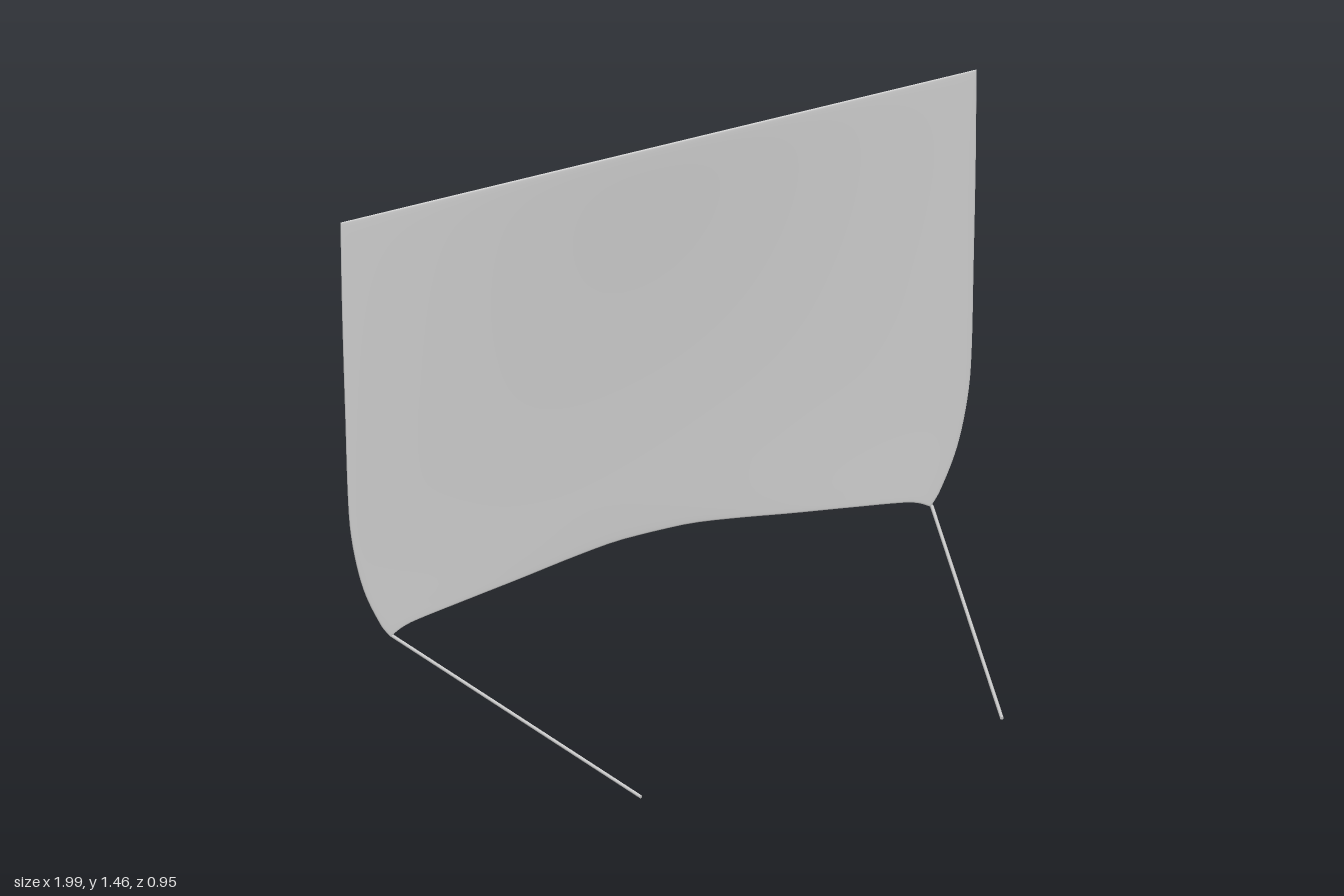
import * as THREE from 'three';

const material = new THREE.MeshStandardMaterial({ color: 0xcccccc, side: THREE.DoubleSide });

// Smooth interpolation through [t, value] pairs (cubic Hermite)
function smooth(points, t) {
  let i = 0;
  while (i < points.length - 2 && t > points[i + 1][0]) i++;
  const slope = (j) => {
    const a = points[Math.max(j - 1, 0)], b = points[Math.min(j + 1, points.length - 1)];
    return (b[1] - a[1]) / (b[0] - a[0]);
  };
  const [t0, p0] = points[i], [t1, p1] = points[i + 1];
  const d = t1 - t0, s = (t - t0) / d, s2 = s * s, s3 = s2 * s;
  return p0 * (2 * s3 - 3 * s2 + 1) + slope(i) * d * (s3 - 2 * s2 + s)
    + p1 * (3 * s2 - 2 * s3) + slope(i + 1) * d * (s3 - s2);
}

const TOP = 1.464, CORNER = 0.212;
// Half width by height along the side edge
const sideEdge = [[0.212, 0.845], [0.25, 0.873], [0.36, 0.925], [0.48, 0.957],
  [0.6, 0.973], [0.9, 0.983], [1.2, 0.991], [1.464, 0.995]];
// Height of the arched lower edge by fraction of the half width
const footEdge = [[0, 0.315], [0.14, 0.313], [0.3, 0.299], [0.5, 0.278],
  [0.7, 0.26], [0.91, 0.24], [0.96, 0.229], [1, 0.212]];

// Thin cloth panel: closed flat rings stacked from the foot to the head
function createSail() {
  const around = 112, rows = 56, positions = [], index = [];
  for (let r = 0; r <= rows; r++) {
    const b = (r / rows) * Math.PI;
    const v = (1 - Math.cos(b)) / 2;
    const halfWidth = smooth(sideEdge, CORNER + (TOP - CORNER) * v);
    const rowThickness = 0.006 * Math.pow(Math.max(Math.sin(b), 0), 0.3);
    const belly = 0.03 * Math.sin(Math.min(1, (1 - v) / 0.85) * Math.PI / 2);
    for (let k = 0; k < around; k++) {
      const a = (k / around) * Math.PI * 2;
      const u = -Math.cos(a), side = Math.sin(a);
      const thickness = Math.sign(side) * Math.pow(Math.abs(side), 0.3) * rowThickness;
      const foot = smooth(footEdge, Math.abs(u));
      positions.push(
        u * halfWidth,
        foot + (TOP - foot) * v,
        -0.44 - belly * (1 - u * u) ** 2 + 0.011 * u ** 4 * (1 - v) + thickness
      );
      if (r < rows) {
        const p = r * around + k, q = r * around + (k + 1) % around;
        index.push(p, q, q + around, p, q + around, p + around);
      }
    }
  }
  const geometry = new THREE.BufferGeometry();
  geometry.setAttribute('position', new THREE.Float32BufferAttribute(positions, 3));
  geometry.setIndex(index);
  geometry.computeVertexNormals();
  const mesh = new THREE.Mesh(geometry, material);
  mesh.name = 'sail';
  return mesh;
}

// Taut rope between two points
function createRope(name, from, to) {
  const a = new THREE.Vector3(...from), b = new THREE.Vector3(...to);
  const rope = new THREE.Mesh(new THREE.CylinderGeometry(0.005, 0.005, a.distanceTo(b), 8), material);
  rope.name = name;
  rope.position.copy(a).add(b).multiplyScalar(0.5);
  rope.quaternion.setFromUnitVectors(new THREE.Vector3(0, 1, 0), b.sub(a).normalize());
  return rope;
}

export function createModel() {
  const group = new THREE.Group();
  group.name = 'sailWithRopes';
  group.add(
    createSail(),
    createRope('leftRope', [0.85, 0.212, -0.432], [0.535, 0.006, 0.474]),
    createRope('rightRope', [-0.837, 0.212, -0.432], [-0.58, 0.018, 0.45])
  );
  return group;
}
